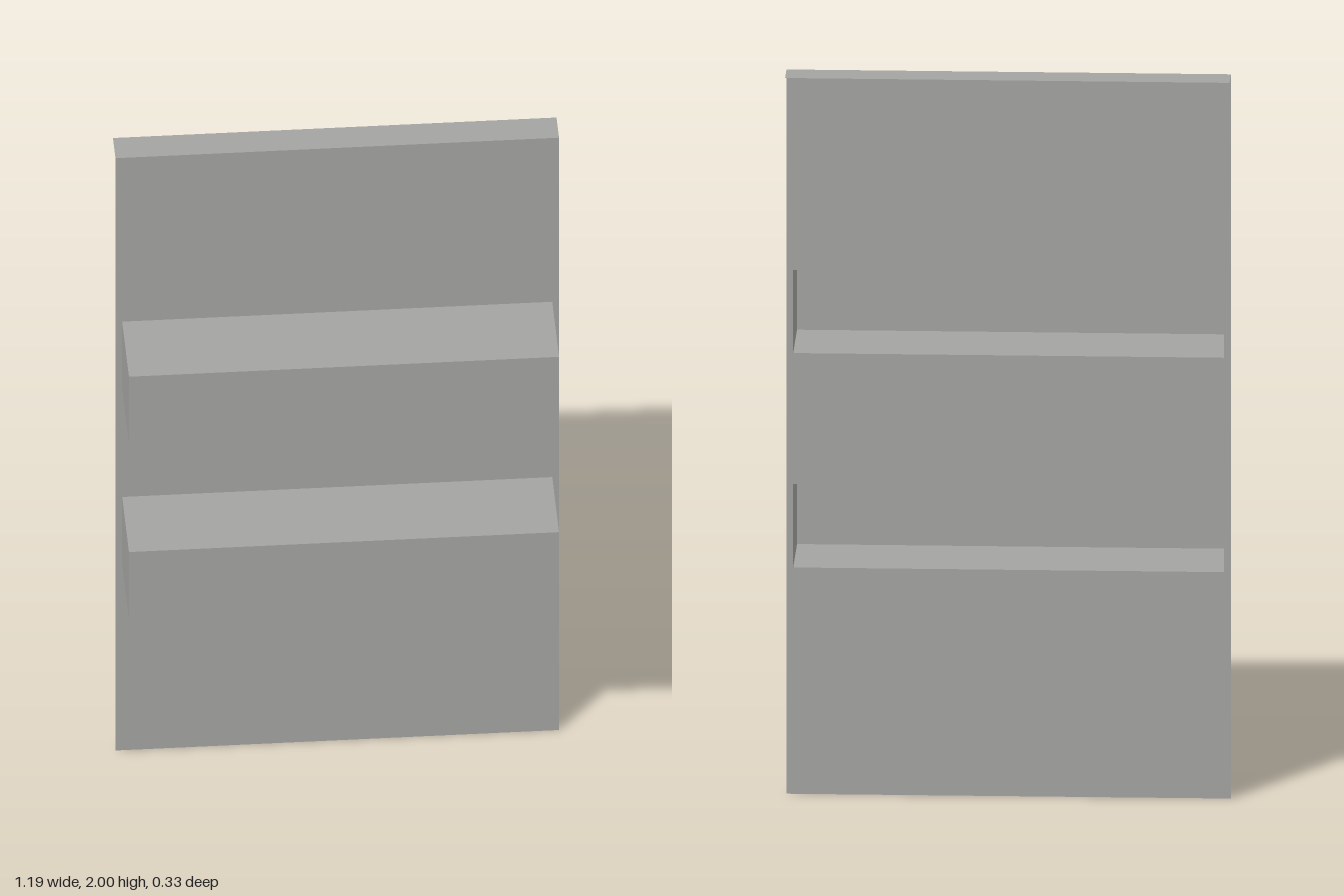
import * as THREE from 'three';

const HALF_W = 0.593, HEIGHT = 2, PANEL_Z = -0.076, BACK_Z = -0.164, FRONT_Z = 0.164;
const TRAY_HALF_W = 0.575, TRAY_H = 0.23, TRAY_BASES = [0.625, 1.217];

export function createModel() {
  const model = new THREE.Group();
  model.name = 'wallPanelWithTrays';
  const greyMetal = new THREE.MeshStandardMaterial({ color: 0xa4a4a2, side: THREE.DoubleSide });
  greyMetal.name = 'greyMetal';

  const add = (name, geometry, x, y, z) => {
    const mesh = new THREE.Mesh(geometry, greyMetal);
    mesh.name = name;
    mesh.position.set(x, y, z);
    model.add(mesh);
    return mesh;
  };
  const rectangle = (path, halfW, y0, y1) => path
    .moveTo(-halfW, y0).lineTo(halfW, y0).lineTo(halfW, y1).lineTo(-halfW, y1).closePath();

  // Sheet panel, cut open behind each tray
  const outline = new THREE.Shape();
  rectangle(outline, HALF_W, 0, HEIGHT);
  for (const y of TRAY_BASES) {
    const hole = new THREE.Path();
    rectangle(hole, TRAY_HALF_W, y, y + TRAY_H);
    outline.holes.push(hole);
  }
  add('panel', new THREE.ShapeGeometry(outline), 0, 0, PANEL_Z);

  // Flange folded backwards along the top edge
  const flange = new THREE.PlaneGeometry(2 * HALF_W, PANEL_Z - BACK_Z).rotateX(-Math.PI / 2);
  add('topFlange', flange, 0, HEIGHT, (PANEL_Z + BACK_Z) / 2);

  // Hollow box trays, open towards the back (the box's last face is left out)
  const depth = FRONT_Z - PANEL_Z;
  TRAY_BASES.forEach((y, i) => {
    const tray = new THREE.BoxGeometry(2 * TRAY_HALF_W, TRAY_H, depth);
    tray.setIndex(Array.from(tray.index.array).slice(0, 30));
    tray.clearGroups();
    add(i ? 'upperTray' : 'lowerTray', tray, 0, y + TRAY_H / 2, PANEL_Z + depth / 2);
  });
  return model;
}
